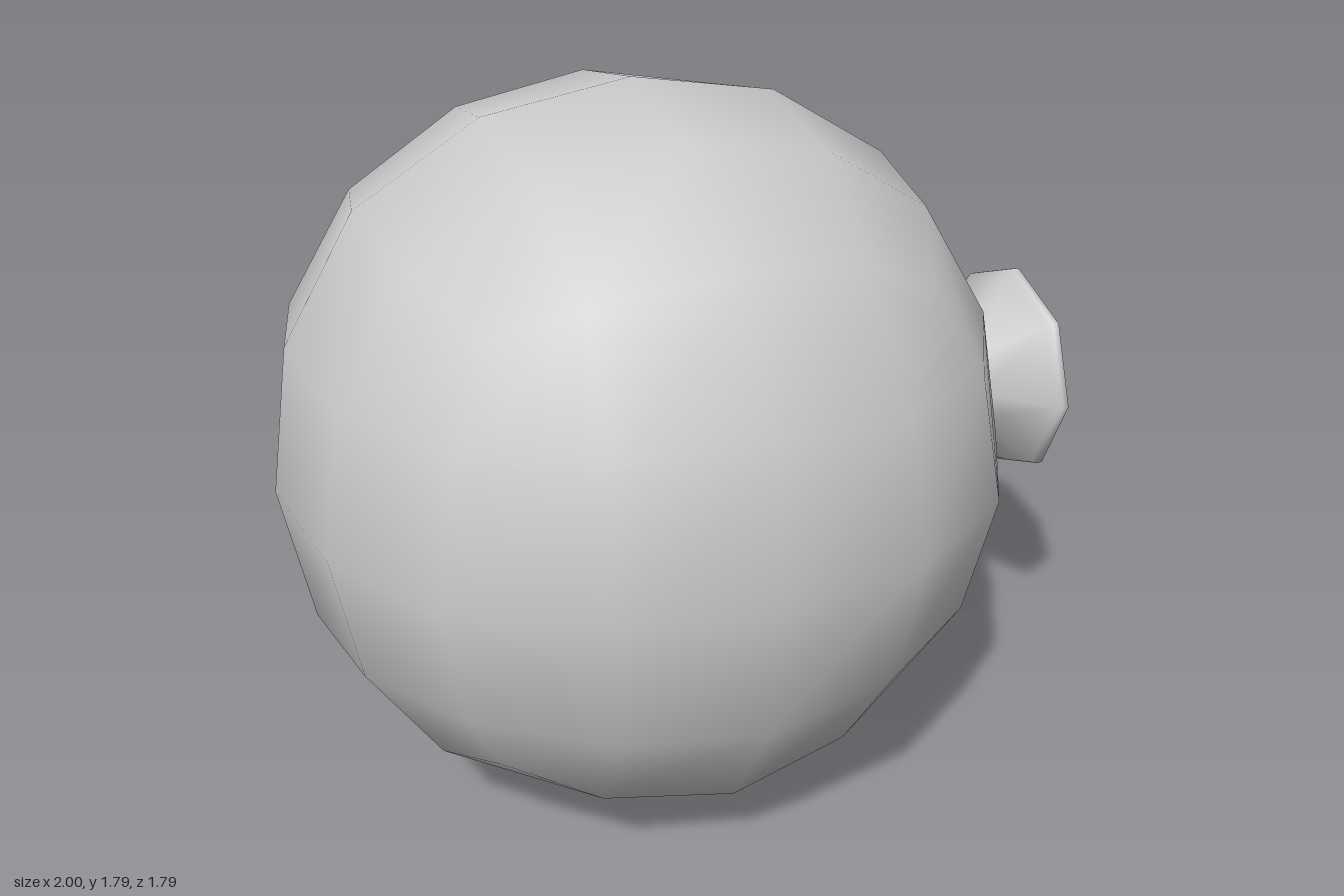
import * as THREE from 'three';
import { mergeVertices } from 'three/addons/utils/BufferGeometryUtils.js';

const material = new THREE.MeshStandardMaterial({ color: 0xcccccc });
const CENTER = new THREE.Vector3(-0.105, 0.9, 0);

// Twice-subdivided cube: each 4x4 grid vertex moves to its smoothed position
function roundedCubeGeometry(scale) {
  const outer = [[0.8785, 0.8195, 0.643], [0.8195, 0.764, 0.599], [0.643, 0.599, 0.509]];
  const inner = [0.3505, 0.326, 0.302];
  const box = new THREE.BoxGeometry(4, 4, 4, 4, 4, 4);
  box.deleteAttribute('normal');
  box.deleteAttribute('uv');
  const geometry = mergeVertices(box);
  const position = geometry.attributes.position;
  const smooth = (c, p, q) => {
    const [a, b, d] = [c, p, q].map((v) => Math.round(Math.abs(v)));
    if (a === 0) return 0;
    const size = a === 2 ? outer[b][d] : inner[Math.min(b, d)];
    return Math.sign(c) * size * scale;
  };
  for (let i = 0; i < position.count; i++) {
    const x = position.getX(i), y = position.getY(i), z = position.getZ(i);
    position.setXYZ(i, smooth(x, y, z), smooth(y, z, x), smooth(z, x, y));
  }
  geometry.computeVertexNormals();
  return geometry;
}

// Eight-sided part turned around the x axis; profile is [x, radius]
function turned(name, profile) {
  const points = profile.map(([x, r]) => new THREE.Vector2(r, x));
  const geometry = new THREE.LatheGeometry(points, 8);
  geometry.rotateZ(-Math.PI / 2);
  const mesh = new THREE.Mesh(geometry, material);
  mesh.name = name;
  mesh.position.y = CENTER.y;
  return mesh;
}

export function createModel() {
  const group = new THREE.Group();
  group.name = 'roundBodyWithSpout';

  const body = new THREE.Mesh(roundedCubeGeometry(1.018), material);
  body.name = 'body';
  body.position.copy(CENTER);
  group.add(body);

  // Rounded band where the spout meets the body
  group.add(turned('collar', [
    [0.74, 0.13], [0.765, 0.172], [0.785, 0.19], [0.81, 0.182], [0.82, 0.165], [0.815, 0.12],
  ]));

  // Flared funnel with a rolled rim and a conical hollow
  group.add(turned('funnel', [
    [0.78, 0.115], [0.82, 0.134], [0.965, 0.277], [0.978, 0.287], [0.994, 0.287],
    [1.0, 0.275], [0.998, 0.262], [0.985, 0.245], [0.84, 0],
  ]));

  return group;
}
